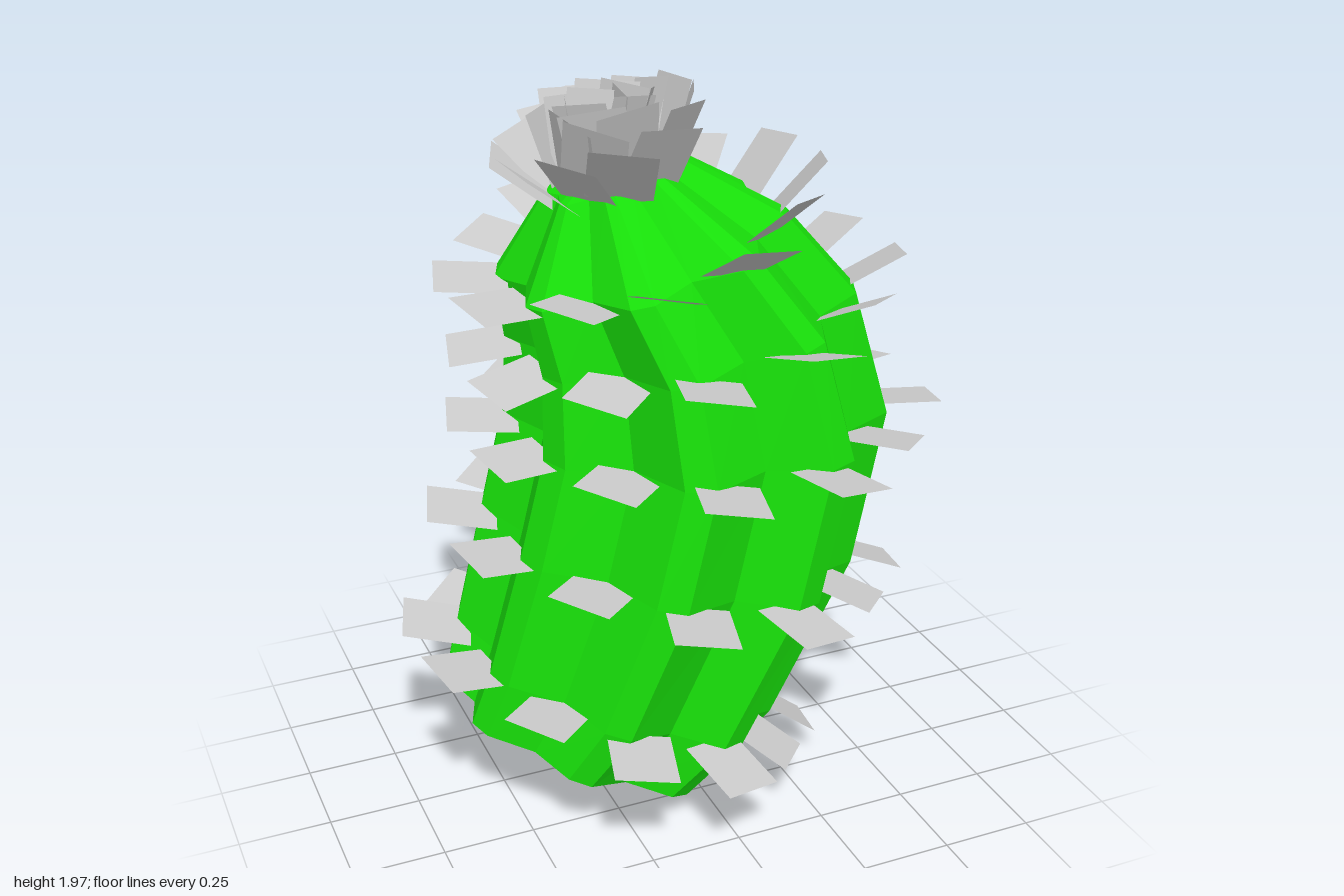
import * as THREE from 'three';

// Tilted rings: left point, right point, half depth, spine elevation, side bias (degrees)
const RINGS = [
  { l: [-0.62, 0.31], r: [0.09, 0.01], d: 0.39 },
  { l: [-0.57, 0.47], r: [0.25, 0.18], d: 0.46, el: -10, bias: -25 },
  { l: [-0.48, 0.80], r: [0.48, 0.63], d: 0.51, el: -4, bias: -16 },
  { l: [-0.41, 1.07], r: [0.57, 1.07], d: 0.51, el: 2, bias: -3 },
  { l: [-0.40, 1.29], r: [0.47, 1.42], d: 0.46, el: 10, bias: 18 },
  { l: [-0.43, 1.47], r: [0.28, 1.64], d: 0.38, el: 26, bias: 22 },
  { l: [-0.31, 1.70], r: [0.00, 1.80], d: 0.17, el: 54, bias: 18 },
].map(({ l, r, d, el, bias }) => {
  const left = new THREE.Vector3(l[0], l[1], 0), right = new THREE.Vector3(r[0], r[1], 0);
  const u = right.clone().sub(left);
  const rx = u.length() / 2 / 0.95;
  u.normalize();
  return {
    c: left.add(right).multiplyScalar(0.5), u, n: new THREE.Vector3(-u.y, u.x, 0),
    rx, rz: d / 0.95, el, bias,
  };
});

const RIBS = 8, GROOVE = 0.83;
const rad = THREE.MathUtils.degToRad;

// Each rib: a groove line, then the two edges of its flat crest
const SECTION = [];
for (let k = 0; k < RIBS; k++) {
  SECTION.push([rad(45 * k), GROOVE], [rad(45 * k + 18), 1], [rad(45 * k + 27), 1]);
}

function ringPoint(ring, angle, scale) {
  return ring.c.clone()
    .addScaledVector(ring.u, ring.rx * scale * Math.cos(angle))
    .add(new THREE.Vector3(0, 0, ring.rz * scale * Math.sin(angle)));
}

function ribbedBody(material) {
  const loops = RINGS.map(ring => SECTION.map(([a, s]) => ringPoint(ring, a, s)));
  const pos = [];
  const tri = (...pts) => pts.forEach(p => pos.push(p.x, p.y, p.z));
  const top = RINGS[RINGS.length - 1];
  const apex = top.c.clone().addScaledVector(top.n, 0.05);
  const n = SECTION.length;
  for (let j = 0; j < n; j++) {
    const k = (j + 1) % n;
    for (let i = 0; i + 1 < loops.length; i++) {
      const a = loops[i][j], b = loops[i][k], c = loops[i + 1][k], d = loops[i + 1][j];
      tri(a, d, b);
      tri(b, d, c);
    }
    tri(apex, loops[loops.length - 1][k], loops[loops.length - 1][j]);
    tri(RINGS[0].c, loops[0][j], loops[0][k]);
  }
  const geo = new THREE.BufferGeometry();
  geo.setAttribute('position', new THREE.Float32BufferAttribute(pos, 3));
  geo.computeVertexNormals();
  const mesh = new THREE.Mesh(geo, material);
  mesh.name = 'ribbedBody';
  return mesh;
}

export function createModel() {
  const model = new THREE.Group();
  model.name = 'cactus';
  const green = new THREE.MeshStandardMaterial({ color: 0x18e00a, flatShading: true });
  const grey = new THREE.MeshStandardMaterial({ color: 0xcccccc, side: THREE.DoubleSide });
  model.add(ribbedBody(green));

  // Flat square spine: grows along local +x, lies across local z
  const spineGeo = new THREE.PlaneGeometry(0.19, 0.17).rotateX(-Math.PI / 2).translate(0.08, 0, 0);

  // Elevation is measured from the horizon; every spine is rolled slightly about its own length
  function addSpine(group, ring, angle, scale, elevation, yaw = 0) {
    const side = new THREE.Vector3(-Math.sin(angle), 0, Math.cos(angle));
    const dir = new THREE.Vector3(Math.cos(angle), 0, Math.sin(angle))
      .multiplyScalar(Math.cos(elevation));
    dir.y = Math.sin(elevation);
    const up = new THREE.Vector3().crossVectors(side, dir);
    const spine = new THREE.Mesh(spineGeo, grey);
    spine.name = 'spine';
    spine.quaternion.setFromRotationMatrix(new THREE.Matrix4().makeBasis(dir, up, side));
    spine.rotateX(rad(-9));
    spine.rotateY(yaw);
    spine.position.copy(ringPoint(ring, angle, scale));
    group.add(spine);
  }

  // Rows of twelve spines around each ring
  RINGS.slice(1).forEach((ring, i) => {
    const row = new THREE.Group();
    row.name = `spineRow${i + 1}`;
    for (let k = 0; k < 12; k++) {
      const deg = 15 + 30 * k;
      const scale = deg % 90 === 45 ? 0.85 : 0.95;
      const el = ring.el + ring.bias * Math.cos(rad(deg));
      addSpine(row, ring, rad(deg), scale, rad(el));
    }
    model.add(row);
  });

  // Dense, uneven tuft of nearly upright spines on the crown
  const tuft = new THREE.Group();
  tuft.name = 'crownTuft';
  const crown = RINGS[RINGS.length - 1];
  for (let k = 0; k < 16; k++) {
    const scale = 0.2 + 0.035 * k;
    addSpine(tuft, crown, 2.4 * k, scale, rad(84 - 1.2 * k), 0.22 * Math.sin(5 * k));
  }
  tuft.position.set(-0.02, 0.02, 0);
  model.add(tuft);

  return model;
}
